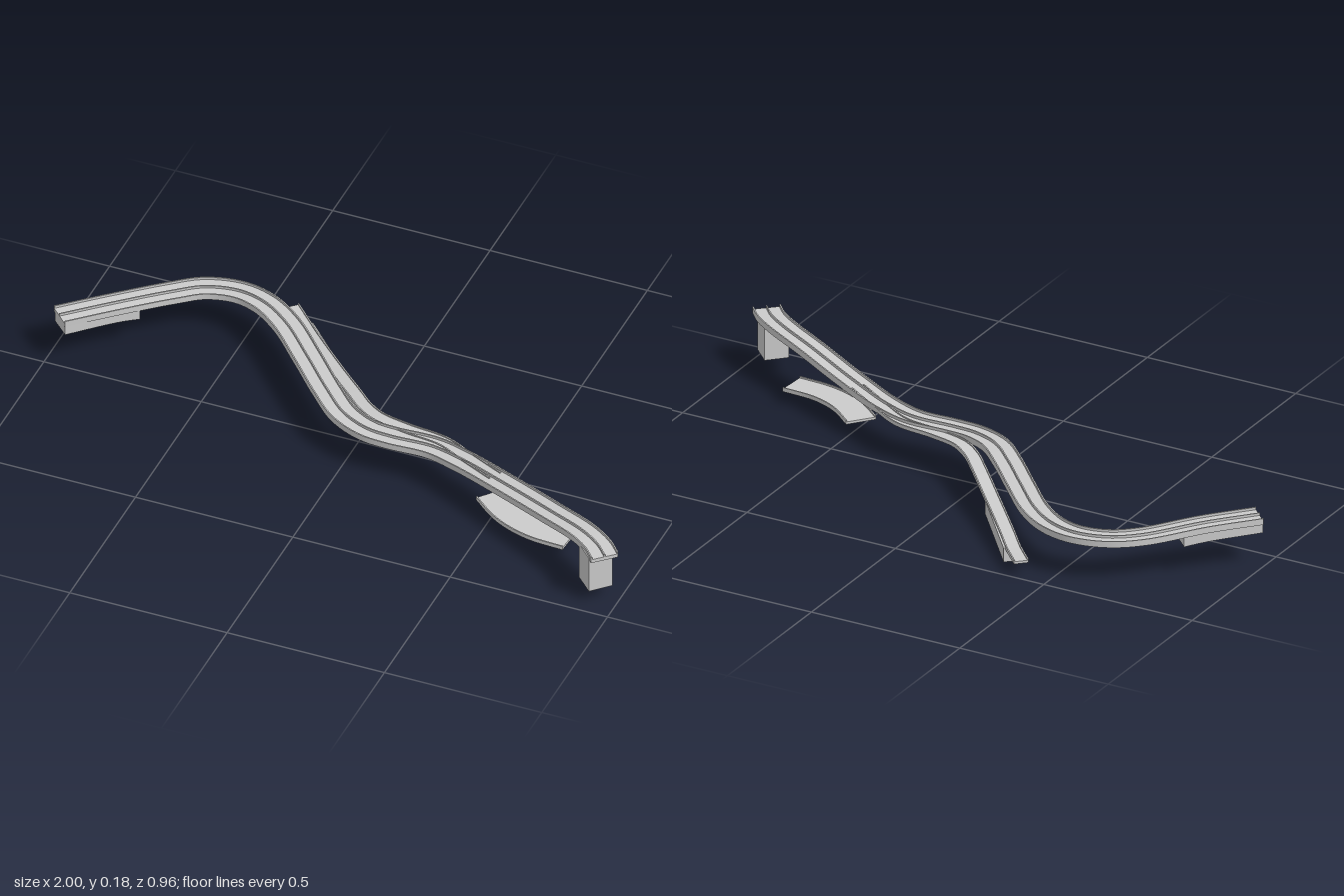
import * as THREE from 'three';
import { toCreasedNormals } from 'three/addons/utils/BufferGeometryUtils.js';

const material = new THREE.MeshStandardMaterial({ color: 0xcccccc, side: THREE.DoubleSide });

// Road cross-section (offset, height) with a parapet on each edge and an optional median
function roadProfile(width, { thick = 0.012, wall = 0.008, median = false } = {}) {
  const h = width / 2, w = 0.004, m = 0.002;
  const points = [[-h, -thick], [h, -thick], [h, wall], [h - w, wall], [h - w, 0]];
  if (median) points.push([m, 0], [m, wall], [-m, wall], [-m, 0]);
  points.push([-h + w, 0], [-h + w, wall], [-h, wall]);
  return points;
}

function boxProfile(width, bottom, top) {
  const h = width / 2;
  return [[-h, bottom], [h, bottom], [h, top], [-h, top]];
}

// Sweeps an upright counter-clockwise section along a path and caps both ends
function sweep(name, path, profile, steps) {
  const curve = new THREE.CatmullRomCurve3(path.map((p) => new THREE.Vector3(...p)));
  const rings = [];
  for (let i = 0; i <= steps; i++) {
    const p = curve.getPointAt(i / steps);
    const t = curve.getTangentAt(i / steps).setY(0).normalize();
    rings.push(profile.map(([u, v]) => [p.x - t.z * u, p.y + v, p.z + t.x * u]));
  }
  const out = [];
  const tri = (a, b, c) => out.push(...a, ...b, ...c);
  const n = profile.length;
  for (let i = 0; i < steps; i++) {
    for (let j = 0; j < n; j++) {
      const k = (j + 1) % n;
      tri(rings[i][j], rings[i + 1][j], rings[i][k]);
      tri(rings[i][k], rings[i + 1][j], rings[i + 1][k]);
    }
  }
  const outline = profile.map(([u, v]) => new THREE.Vector2(u, v));
  for (const [a, b, c] of THREE.ShapeUtils.triangulateShape(outline, [])) {
    tri(rings[0][a], rings[0][b], rings[0][c]);
    tri(rings[steps][a], rings[steps][c], rings[steps][b]);
  }
  const geometry = new THREE.BufferGeometry();
  geometry.setAttribute('position', new THREE.Float32BufferAttribute(out, 3));
  const mesh = new THREE.Mesh(toCreasedNormals(geometry, 0.5), material);
  mesh.name = name;
  return mesh;
}

export function createModel() {
  const group = new THREE.Group();
  group.name = 'elevatedRoad';

  // Main winding carriageway
  group.add(sweep('mainRoad', [
    [-0.97, 0.147, -0.045], [-0.85, 0.141, -0.165], [-0.72, 0.127, -0.3],
    [-0.64, 0.126, -0.36], [-0.54, 0.126, -0.382], [-0.45, 0.126, -0.36],
    [-0.355, 0.126, -0.295], [-0.235, 0.126, -0.17], [-0.12, 0.125, -0.045],
    [-0.03, 0.123, 0.04], [0.06, 0.12, 0.08], [0.14, 0.119, 0.087],
    [0.27, 0.12, 0.085], [0.38, 0.124, 0.117], [0.54, 0.138, 0.19],
    [0.73, 0.157, 0.285], [0.86, 0.167, 0.35], [0.925, 0.168, 0.395],
    [0.965, 0.168, 0.438],
  ], roadProfile(0.085, { median: true }), 140));

  // Narrow slip road that drops away from the main road
  group.add(sweep('slipRoad', [
    [-0.41, 0.045, -0.475], [-0.345, 0.047, -0.407], [-0.29, 0.056, -0.345],
    [-0.155, 0.08, -0.2], [-0.05, 0.101, -0.09], [0.01, 0.11, -0.03],
    [0.07, 0.116, 0.008], [0.165, 0.118, 0.03], [0.29, 0.119, 0.048],
    [0.39, 0.124, 0.1], [0.5, 0.134, 0.16],
  ], roadProfile(0.045, { thick: 0.008, wall: 0.004 }), 80));

  // Short detached road passing below the main road
  group.add(sweep('lowerRoad', [
    [0.475, 0.045, 0.135], [0.545, 0.045, 0.192], [0.6, 0.045, 0.222],
    [0.67, 0.045, 0.243], [0.775, 0.045, 0.25],
  ], roadProfile(0.095, { thick: 0.008, wall: 0.005 }), 32));

  // Solid abutments under the road ends
  group.add(sweep('startAbutment',
    [[-0.967, 0.147, -0.043], [-0.85, 0.141, -0.165], [-0.8, 0.133, -0.215]],
    boxProfile(0.075, -0.042, -0.004), 10));
  group.add(sweep('slipRoadAbutment',
    [[-0.339, 0.047, -0.41], [-0.161, 0.078, -0.206]],
    boxProfile(0.045, -0.047, -0.002), 2));

  // Tall pier at the high end
  const pier = new THREE.Mesh(new THREE.BoxGeometry(0.075, 0.123, 0.075), material);
  pier.name = 'endPier';
  pier.position.set(0.923, 0.1035, 0.405);
  pier.rotation.y = -Math.PI / 4;
  group.add(pier);

  return group;
}
